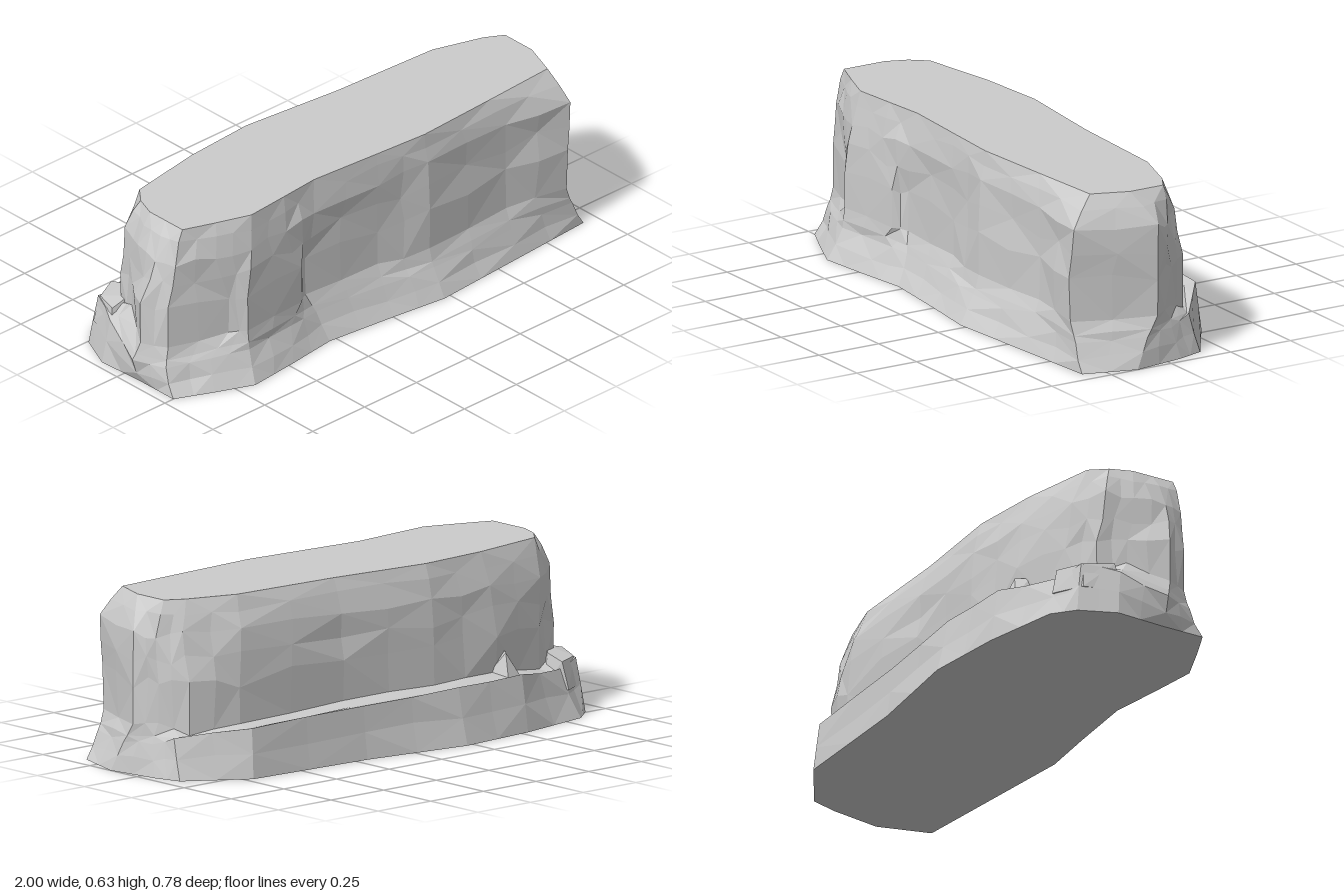
import * as THREE from 'three';
import { ConvexGeometry } from 'three/addons/geometries/ConvexGeometry.js';

// Outlines run front-left -> right -> back -> left, as [x, z] corners.
const base = [[-.96, .25], [-.82, .315], [-.68, .375], [-.48, .355], [-.28, .33], [0, .36], [.22, .388], [.6, .36], [.94, .335], [1, .14],
  [.97, -.06], [.94, -.16], [.72, -.305], [.2, -.33], [-.22, -.39], [-.53, -.365], [-.83, -.31], [-.91, -.245], [-.97, -.11], [-.96, .08]];
const lip = [[-.95, .2], [-.8, .27], [-.66, .325], [-.44, .305], [-.3, .28], [0, .31], [.22, .335], [.6, .325], [.89, .33], [.985, .09],
  [.955, -.03], [.93, -.12], [.71, -.285], [.2, -.31], [-.22, -.345], [-.53, -.335], [-.78, -.25], [-.89, -.215], [-.95, -.09], [-1, .08]];
const wall = [[-.93, .19], [-.71, .27], [-.66, .315], [-.38, .295], [-.33, .26], [0, .28], [.22, .31], [.6, .3], [.86, .335], [.98, .045],
  [.935, -.04], [.87, -.135], [.68, -.19], [.2, -.2], [-.2, -.235], [-.5, -.23], [-.74, -.19], [-.86, -.13], [-.9, -.03], [-.98, .1]];
const shoulder = [[-.9, .2], [-.76, .26], [-.63, .3], [-.45, .29], [-.3, .27], [0, .28], [.22, .3], [.6, .3], [.88, .33], [.98, .04],
  [.935, -.03], [.87, -.1], [.66, -.17], [.2, -.19], [-.2, -.225], [-.49, -.21], [-.76, -.17], [-.87, -.1], [-.9, 0], [-.925, .12]];
const rim = [[-.86, .19], [-.74, .235], [-.61, .28], [-.44, .265], [-.28, .25], [0, .27], [.22, .285], [.55, .265], [.85, .245], [.9, .11],
  [.9, -.03], [.83, -.07], [.64, -.13], [.2, -.15], [-.2, -.19], [-.48, -.17], [-.78, -.12], [-.83, -.06], [-.86, .02], [-.86, .1]];

// Height of the foot at each corner: low at the front, a raised ledge at the back
const lipY = [.1, .11, .12, .12, .11, .11, .1, .11, .1, .11, .12, .148, .178, .19, .2, .2, .17, .2, .17, .1];
const innerY = lipY.map((y, i) => (i > 10 && i < 18 ? y : y + .07));

let seed = 7;
const jitter = (a) => {
  seed = (seed * 16807) % 2147483647;
  return (seed / 2147483647 - .5) * 2 * a;
};

// Ring of 3D points with a midpoint added between neighbouring corners
function makeRing(outline, y, rough, roughY = rough) {
  const pts = outline.map(([x, z], i) => new THREE.Vector3(x, Array.isArray(y) ? y[i] : y, z));
  return pts.flatMap((p, i) => {
    const m = p.clone().lerp(pts[(i + 1) % pts.length], .5);
    m.add(new THREE.Vector3(jitter(rough), jitter(roughY), jitter(rough)));
    return [p.add(new THREE.Vector3(0, jitter(roughY), jitter(rough * .5))), m];
  });
}

const mix = (a, b, t) => a.map(([x, z], i) => [x + (b[i][0] - x) * t, z + (b[i][1] - z) * t]);

function rockGeometry() {
  const rings = [
    makeRing(base, 0, 0),
    makeRing(mix(base, lip, .55), lipY.map((y) => y * .5), .007),
    makeRing(lip, lipY, .005),
    makeRing(mix(lip, wall, .4), lipY.map((y, i) => (y + innerY[i]) / 2 - .008), .004),
    makeRing(wall, innerY, .005),
    makeRing(wall, .33, .011, .025),
    makeRing(mix(wall, shoulder, .6), .42, .011, .02),
    makeRing(shoulder, .51, .008, .015),
    makeRing(mix(shoulder, rim, .5), .58, .006, .01),
    makeRing(rim, .63, 0),
  ];
  const pos = [];
  const tri = (...pts) => pts.forEach((p) => pos.push(p.x, p.y, p.z));
  const n = rings[0].length;
  for (let r = 0; r < rings.length - 1; r++) {
    for (let i = 0; i < n; i++) {
      const j = (i + 1) % n;
      const [a, b, c, d] = [rings[r][i], rings[r][j], rings[r + 1][j], rings[r + 1][i]];
      // Alternate the diagonal for irregular facets
      if ((i + r) % 2) { tri(a, b, c); tri(a, c, d); } else { tri(a, b, d); tri(b, c, d); }
    }
  }
  // Flat top and underside
  const cap = (ring, up) => {
    const flat = ring.map((p) => new THREE.Vector2(p.x, -p.z));
    for (const [a, b, c] of THREE.ShapeUtils.triangulateShape(flat, [])) {
      if (up) tri(ring[a], ring[b], ring[c]);
      else tri(ring[a], ring[c], ring[b]);
    }
  };
  cap(rings[rings.length - 1], true);
  cap(rings[0], false);
  const geo = new THREE.BufferGeometry();
  geo.setAttribute('position', new THREE.Float32BufferAttribute(pos, 3));
  geo.computeVertexNormals();
  return geo;
}

export function createModel() {
  const group = new THREE.Group();
  group.name = 'cliffRock';
  const material = new THREE.MeshStandardMaterial({ color: 0xcccccc, flatShading: true });

  const addPart = (name, geometry) => {
    const mesh = new THREE.Mesh(geometry, material);
    mesh.name = name;
    group.add(mesh);
  };
  const addStone = (name, corners) =>
    addPart(name, new ConvexGeometry(corners.map((c) => new THREE.Vector3(...c))));

  addPart('cliffBody', rockGeometry());

  // Wedge of stone leaning on the back wall above the ledge
  addStone('ledgeWedge', [[-.59, .17, -.2], [-.46, .17, -.2], [-.57, .18, -.285], [-.5, .18, -.295],
    [-.55, .272, -.215], [-.52, .272, -.258]]);

  // Low boulder at the back left end of the ledge
  addStone('ledgeBoulder', [[-.77, .1, -.18], [-.8, .1, -.28], [-.91, .1, -.22], [-.95, .1, -.08], [-.85, .1, -.05],
    [-.79, .2, -.255], [-.89, .2, -.205], [-.93, .21, -.1], [-.85, .23, -.1], [-.79, .22, -.18]]);
  return group;
}
